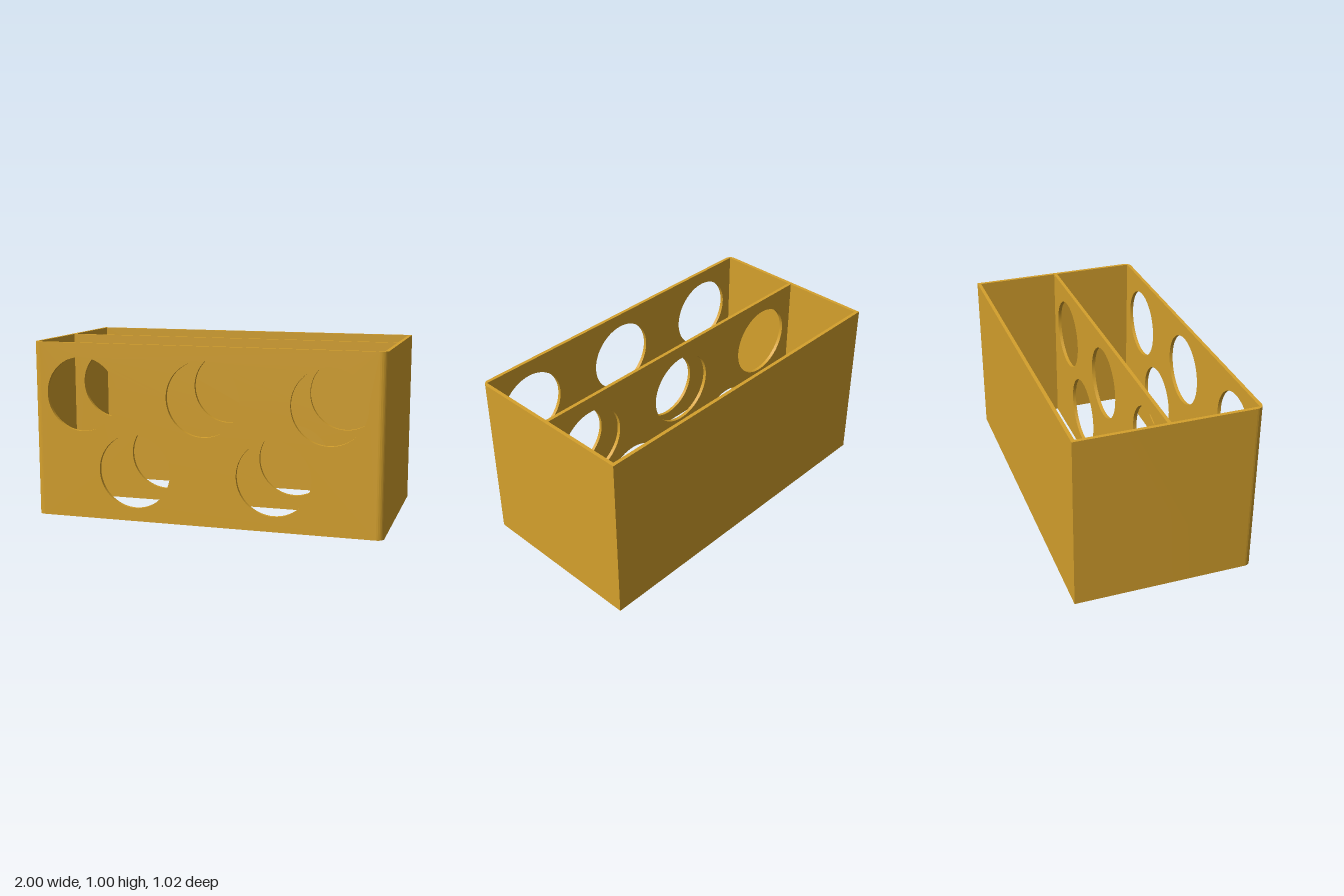
import * as THREE from 'three';
import { toCreasedNormals } from 'three/addons/utils/BufferGeometryUtils.js';

const HEIGHT = 1, WALL = 0.02, RADIUS = 0.04;
const HALF_X = 1, HALF_Z = 0.51;
const HOLE_RADIUS = 0.21;
const HOLES = [[-0.71, 0.71], [0, 0.71], [0.7, 0.7], [-0.4, 0.285], [0.4, 0.295]];

export function createModel() {
  const group = new THREE.Group();
  const material = new THREE.MeshStandardMaterial({ color: 0xd4a02c });

  function add(name, shape, depth, place) {
    const geometry = new THREE.ExtrudeGeometry(shape, { depth, bevelEnabled: false, curveSegments: 32 });
    place(geometry);
    const mesh = new THREE.Mesh(toCreasedNormals(geometry, 0.6), material);
    mesh.name = name;
    group.add(mesh);
  }

  // Upright sheet with five round openings, centred on the given z
  function addPanel(name, halfWidth, z) {
    const shape = new THREE.Shape();
    shape.moveTo(-halfWidth, 0);
    shape.lineTo(halfWidth, 0);
    shape.lineTo(halfWidth, HEIGHT);
    shape.lineTo(-halfWidth, HEIGHT);
    shape.closePath();
    for (const [x, y] of HOLES) {
      shape.holes.push(new THREE.Path().absarc(x, y, HOLE_RADIUS, 0, Math.PI * 2, true));
    }
    add(name, shape, WALL, (g) => g.translate(0, 0, z - WALL / 2));
  }

  // Back and side walls in one plan outline, with rounded front corners
  const ix = HALF_X - WALL, iz = HALF_Z - WALL;
  const cx = HALF_X - RADIUS, cz = HALF_Z - RADIUS;
  const plan = new THREE.Shape();
  plan.moveTo(cx, -HALF_Z);
  plan.absarc(cx, -cz, RADIUS, -Math.PI / 2, 0, false);
  plan.lineTo(HALF_X, HALF_Z);
  plan.lineTo(-HALF_X, HALF_Z);
  plan.absarc(-cx, -cz, RADIUS, Math.PI, Math.PI * 1.5, false);
  for (const [x, y] of [[-cx, -iz], [-ix, -iz], [-ix, iz], [ix, iz], [ix, -iz], [cx, -iz]]) {
    plan.lineTo(x, y);
  }
  plan.closePath();
  add('backAndSideWalls', plan, HEIGHT, (g) => g.rotateX(-Math.PI / 2));

  // Front wall and the matching divider halfway back
  addPanel('frontPanel', cx, HALF_Z - WALL / 2);
  addPanel('dividerPanel', ix, 0);

  return group;
}
